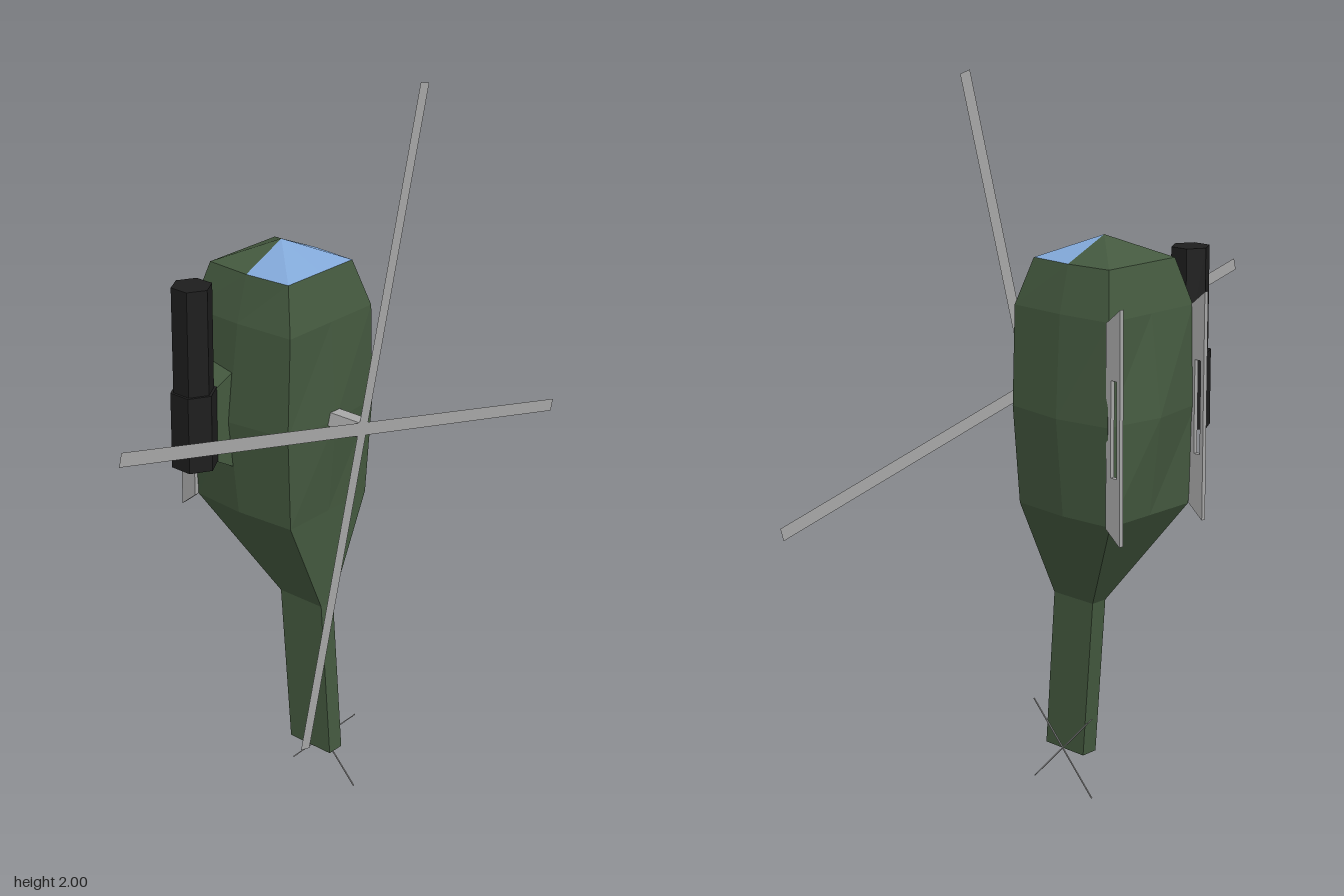
import * as THREE from 'three';

const paint = (name, color, side = THREE.FrontSide) => {
  const m = new THREE.MeshStandardMaterial({ color, side, flatShading: true });
  m.name = name;
  return m;
};

export function createModel() {
  const green = paint('hull green', 0x44593f);
  const blue = paint('window blue', 0x82a8d8);
  const grey = paint('metal grey', 0xa8a8a8, THREE.DoubleSide);
  const black = paint('gun black', 0x1e1e1e);

  const model = new THREE.Group();
  model.name = 'helicopter';
  const add = (name, geometry, material, x = 0, y = 0, z = 0, parent = model) => {
    const mesh = new THREE.Mesh(geometry, material);
    mesh.name = name;
    mesh.position.set(x, y, z);
    parent.add(mesh);
    return mesh;
  };
  const fromTriangles = (points) => {
    const g = new THREE.BufferGeometry().setFromPoints(points);
    g.computeVertexNormals();
    return g;
  };

  // Eight-point hull rings from tail to nose: y, half width, front z, back z,
  // then how far the sides, front and back bulge, and the z of the side points
  const rings = [
    [0.12, 0.025, 0.165, 0.022, 0, 0, 0, 0.094],
    [0.575, 0.025, 0.13, -0.015, 0, 0, 0, 0.058],
    [0.86, 0.153, 0.132, -0.198, 0.012, 0, 0, -0.04],
    [1.13, 0.17, 0.138, -0.205, 0.024, 0.016, 0.029, -0.045],
    [1.4, 0.16, 0.137, -0.2, 0.008, 0, 0, -0.035],
    [1.525, 0.125, 0.1, -0.167, 0.01, 0, 0, -0.033],
  ].map(([y, w, f, b, bulgeX, bulgeF, bulgeB, m]) => [
    [0, f + bulgeF], [w, f], [w + bulgeX, m], [w, b],
    [0, b - bulgeB], [-w, b], [-w - bulgeX, m], [-w, f],
  ].map(([x, z]) => new THREE.Vector3(x, y, z)));
  const apex = new THREE.Vector3(0, 1.585, -0.033);
  const tailEnd = new THREE.Vector3(0, 0.12, 0.094);

  const hull = [], glass = [];
  const nose = rings[rings.length - 1];
  for (let i = 0; i < 8; i++) {
    const j = (i + 1) % 8;
    for (let r = 0; r < rings.length - 1; r++) {
      const a = rings[r], b = rings[r + 1];
      hull.push(a[i], a[j], b[j], a[i], b[j], b[i]);
    }
    hull.push(tailEnd, rings[0][j], rings[0][i]);
    // The front half of the nose cap is the window
    (i < 2 || i > 5 ? glass : hull).push(nose[i], nose[j], apex);
  }
  add('hull', fromTriangles(hull), green);
  add('cockpitWindow', fromTriangles(glass), blue);

  // Main rotor: mast and two crossed flat blade pairs
  const mast = new THREE.CylinderGeometry(0.03, 0.03, 0.1, 5).rotateX(Math.PI / 2);
  add('rotorMast', mast, grey, 0, 1.132, 0.195);
  const rotor = new THREE.Group();
  rotor.name = 'mainRotor';
  rotor.position.set(0, 1.132, 0.245);
  rotor.rotation.z = -0.252;
  model.add(rotor);
  for (let i = 0; i < 2; i++) {
    add('rotorBlade', new THREE.PlaneGeometry(0.035, 1.788), grey, 0, 0, i * 0.0005, rotor)
      .rotation.z = i * Math.PI / 2;
  }

  // Tail rotor: very thin crossed blades on the left of the tail
  for (const s of [-1, 1]) {
    add('tailRotorBlade', new THREE.BoxGeometry(0.003, 0.325, 0.003), grey, 0.029, 0.122, 0.097)
      .rotation.x = s * 0.76;
  }

  // Landing skids: flat frames with a slot
  const frame = new THREE.Shape([[0.197, 0.86], [0.245, 0.82], [0.245, 1.44], [0.197, 1.4]]
    .map(([u, v]) => new THREE.Vector2(u, v)));
  frame.holes.push(new THREE.Path([[0.214, 1.0], [0.214, 1.255], [0.234, 1.255], [0.234, 1.0]]
    .map(([u, v]) => new THREE.Vector2(u, v))));
  const skid = new THREE.ExtrudeGeometry(frame, { depth: 0.013, bevelEnabled: false })
    .rotateY(Math.PI / 2);
  add('leftSkid', skid, grey, 0.155);
  add('rightSkid', skid, grey, -0.168);

  // Side gun: hexagonal barrel and housing on a tapered mount
  const gun = new THREE.Group();
  gun.name = 'sideGun';
  gun.position.set(-0.282, 0, -0.084);
  model.add(gun);
  add('gunHousing', new THREE.CylinderGeometry(0.062, 0.062, 0.21, 6), black, 0, 1.135, 0, gun);
  add('gunBarrel', new THREE.CylinderGeometry(0.054, 0.054, 0.295, 6), black, 0, 1.3775, 0, gun);
  const mount = new THREE.BoxGeometry(0.08, 0.3, 0.09);
  const p = mount.attributes.position;
  for (let i = 0; i < p.count; i++) {
    if (p.getX(i) < 0) p.setXYZ(i, p.getX(i), p.getY(i) * 0.69, p.getZ(i) * 0.75);
  }
  mount.computeVertexNormals();
  add('gunMount', mount, green, -0.192, 1.132, -0.086);

  return model;
}
